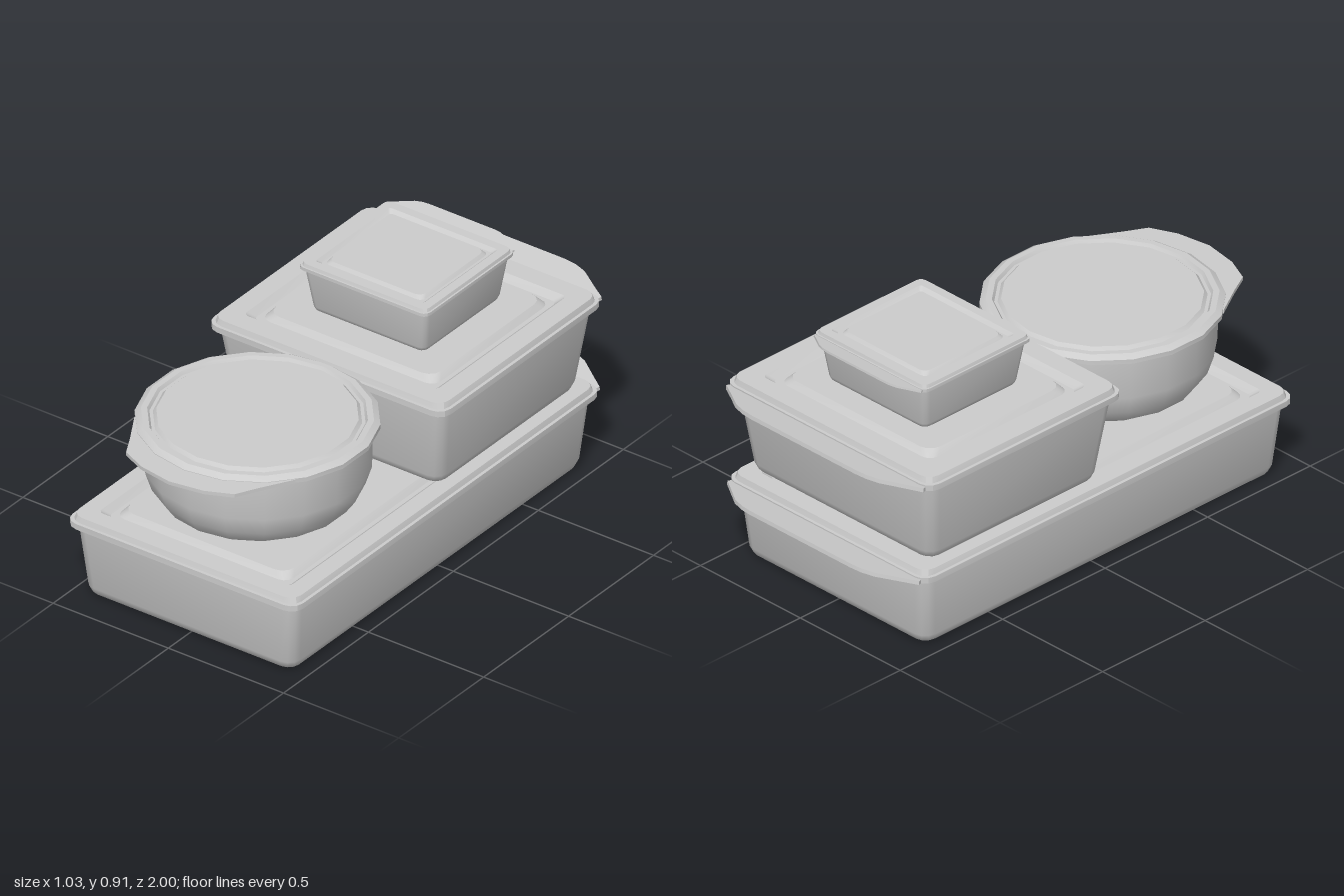
import * as THREE from 'three';
import { toCreasedNormals } from 'three/addons/utils/BufferGeometryUtils.js';

const material = new THREE.MeshStandardMaterial({ color: 0xcccccc });

function addMesh(parent, geometry, name, crease = 0.6) {
  const mesh = new THREE.Mesh(toCreasedNormals(geometry, crease), material);
  mesh.name = name;
  parent.add(mesh);
  return mesh;
}

// Loop around a rounded rectangle at height y, counter-clockwise from above
function roundedRing(hx, hz, r, y, steps = 3) {
  const points = [];
  for (let corner = 0; corner < 4; corner++) {
    const sx = corner === 0 || corner === 3 ? 1 : -1;
    const sz = corner < 2 ? -1 : 1;
    for (let i = 0; i <= steps; i++) {
      const a = (corner + i / steps) * Math.PI / 2;
      points.push([sx * (hx - r) + r * Math.cos(a), y, sz * (hz - r) - r * Math.sin(a)]);
    }
  }
  return points;
}

// Closed solid through a list of loops, capped at both ends
function loft(rings) {
  const n = rings[0].length;
  const last = (rings.length - 1) * n;
  const positions = rings.flat(2);
  const index = [];
  for (let k = 0; k < rings.length - 1; k++) {
    for (let i = 0; i < n; i++) {
      const a = k * n + i, b = k * n + (i + 1) % n;
      index.push(a, b, b + n, a, b + n, a + n);
    }
  }
  for (let i = 1; i < n - 1; i++) {
    index.push(0, i + 1, i);
    index.push(last, last + i, last + i + 1);
  }
  const geometry = new THREE.BufferGeometry();
  geometry.setAttribute('position', new THREE.Float32BufferAttribute(positions, 3));
  geometry.setIndex(index);
  return geometry;
}

// Thin pull tab pointing to -z, outlined by its right half and mirrored
function addTab(parent, half, y, z, tilt, thickness) {
  const mirrored = half.map(([x, d]) => [-x, d]).reverse();
  const shape = new THREE.Shape([...half, ...mirrored].map(([x, d]) => new THREE.Vector2(x, d)));
  const geometry = new THREE.ExtrudeGeometry(shape, { depth: thickness, bevelEnabled: false });
  geometry.rotateX(-Math.PI / 2);
  const tab = addMesh(parent, geometry, 'lidTab');
  tab.position.set(0, y, z);
  tab.rotation.x = tilt;
  return tab;
}

// Tapered box with rounded base, stepped lid, groove, raised panel and rear tab
function addBox(parent, o) {
  const group = new THREE.Group();
  group.name = o.name;
  group.position.set(0, o.y, o.z);
  parent.add(group);

  const { hx, hz, height: h, scale: s, taper } = o;
  const ring = (inset, y, r) => roundedRing(hx - inset, hz - inset, r, y);

  const wall = 0.02 * s;
  addMesh(group, loft([
    ring(wall + taper + 0.035 * s, 0, 0.035 * s),
    ring(wall + taper + 0.012 * s, 0.012 * s, 0.045 * s),
    ring(wall + taper, 0.04 * s, 0.05 * s),
    ring(wall, h - o.lid * 0.7, 0.05 * s),
  ]), 'body', 0.75);

  const g = o.groove;
  const bottom = h - o.lid;
  const step = h - o.lid * 0.48;
  addMesh(group, loft([
    ring(0.02 * s, bottom, 0.04 * s),
    ring(0, bottom, 0.05 * s),
    ring(0, step, 0.05 * s),
    ring(0.012 * s, step, 0.045 * s),
    ring(0.018 * s, h, 0.045 * s),
    ring(g, h, 0.02 * s),
    ring(g + 0.025 * s, h - 0.022 * s, 0.02 * s),
    ring(g + 0.042 * s, h - 0.022 * s, 0.04 * s),
    ring(g + 0.06 * s, h, 0.05 * s),
  ]), 'lid', 0.4);

  const t = o.tab;
  addTab(group, [
    [hx - 0.03 * s, -0.02 * s], [hx - 0.02 * s, 0.01 * s], [hx * 0.84, t * 0.42],
    [hx * 0.7, t * 0.82], [hx * 0.6, t * 0.96], [hx * 0.5, t],
  ], bottom + 0.002, -hz, 0.17, o.lid * 0.35);
}

// Round bowl with a low-sided lid and a front tab
function addBowl(parent) {
  const group = new THREE.Group();
  group.name = 'bowl';
  group.position.set(0, 0.335, 0.475);
  parent.add(group);
  const lathe = (profile) =>
    new THREE.LatheGeometry(profile.map(([r, y]) => new THREE.Vector2(r, y)), 18);

  addMesh(group, lathe([
    [0, 0], [0.22, 0], [0.29, 0.025], [0.345, 0.06],
    [0.38, 0.11], [0.403, 0.18], [0.405, 0.345], [0, 0.345],
  ]), 'bowlBody', 0.75);

  addMesh(group, lathe([
    [0, 0.338], [0.432, 0.338], [0.432, 0.355], [0.422, 0.362], [0.41, 0.369],
    [0.388, 0.369], [0.38, 0.357], [0.368, 0.357], [0.356, 0.369], [0, 0.369],
  ]), 'bowlLid', 0.4);

  const tab = addTab(group, [
    [0.31, 0.22], [0.35, 0.25], [0.28, 0.37], [0.235, 0.455], [0.135, 0.5], [0, 0.522],
  ], 0.339, 0, 0, 0.014);
  tab.rotation.y = Math.PI;
}

export function createModel() {
  const model = new THREE.Group();
  model.name = 'foodContainers';

  addBox(model, {
    name: 'longContainer', hx: 0.5, hz: 0.907, z: 0.027, y: 0.003, height: 0.332,
    lid: 0.043, scale: 1, taper: 0.025, groove: 0.085, tab: 0.122,
  });
  addBox(model, {
    name: 'squareContainer', hx: 0.514, hz: 0.478, z: -0.394, y: 0.335, height: 0.38,
    lid: 0.044, scale: 1, taper: 0.04, groove: 0.095, tab: 0.115,
  });
  addBox(model, {
    name: 'smallContainer', hx: 0.28, hz: 0.265, z: -0.402, y: 0.715, height: 0.202,
    lid: 0.024, scale: 0.55, taper: 0.022, groove: 0.045, tab: 0.062,
  });
  addBowl(model);
  return model;
}
